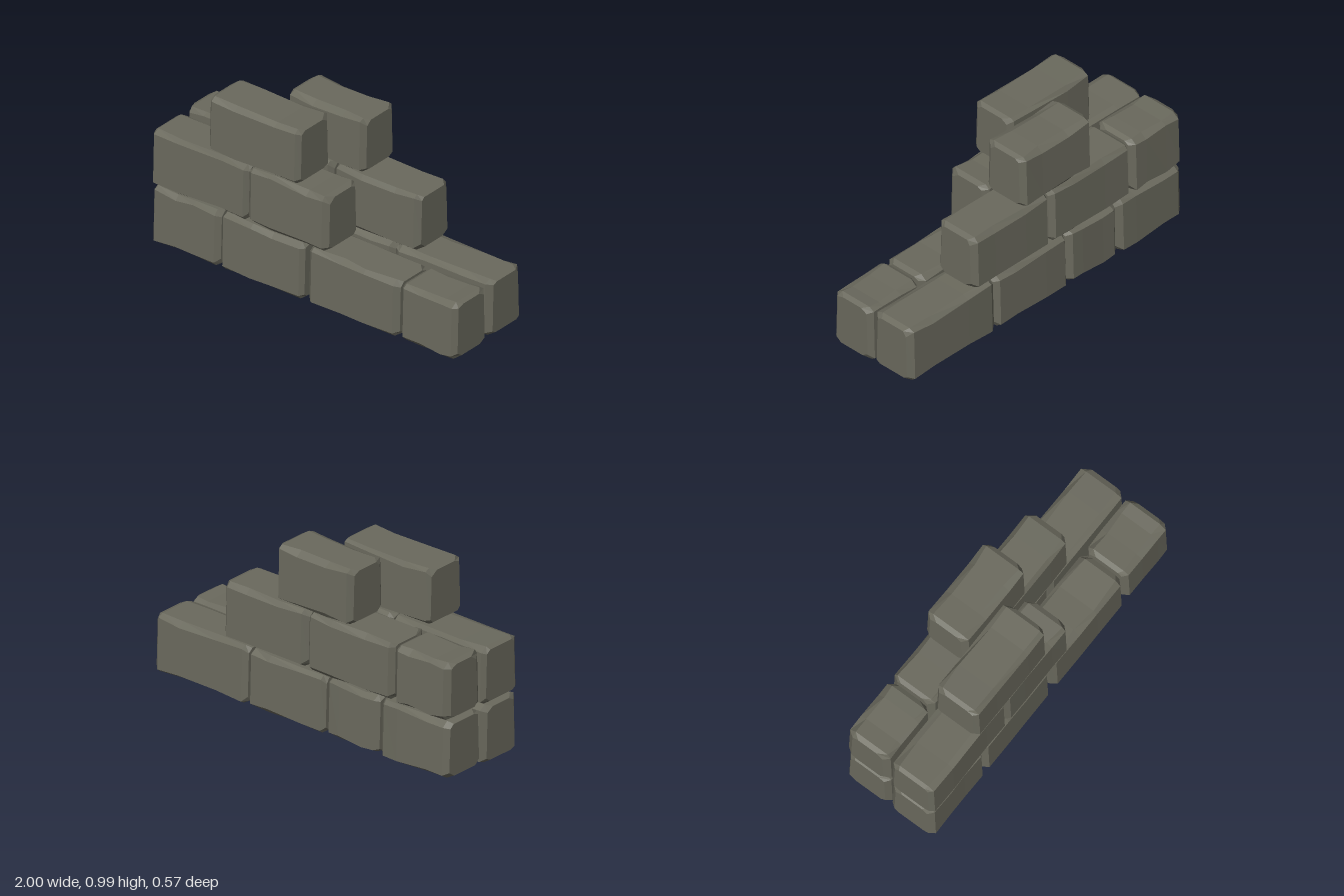
import * as THREE from 'three';

// Small repeatable number source for the chipped edges
function seeded(seed) {
  let s = seed * 7919 + 17;
  return () => {
    s = (s * 16807) % 2147483647;
    return s / 2147483647;
  };
}

// Hewn block: eight-sided sections strung along x, with narrower ends and uneven chamfers
function brickGeometry([x0, x1], [y0, y1], [z0, z1], seed) {
  const rnd = seeded(seed);
  rnd(); rnd();
  const bevel = 0.02 + rnd() * 0.012;
  const mids = [0.28 + rnd() * 0.1, 0.62 + rnd() * 0.12].map((t) => x0 + (x1 - x0) * t);
  const stations = [x0, x0 + bevel, ...mids, x1 - bevel, x1];
  const taper = 0.008;

  const rings = stations.map((x, i) => {
    const end = i === 0 || i === stations.length - 1;
    const middle = i === 2 || i === 3;
    const iy = end ? 0.014 : 0;
    const iz = end ? 0.02 + rnd() * 0.015 : 0;
    const top = y1 - iy - (middle ? rnd() * 0.008 : 0);
    const bottom = y0 + iy;
    const front = z1 - iz - rnd() * 0.003;
    const back = z0 + iz + rnd() * 0.003;
    const cz = () => 0.018 + rnd() * 0.025;
    const cy = () => 0.01 + rnd() * 0.02;
    return [
      [top, back + taper + cz()], [top, front - taper - cz()],
      [top - cy(), front - taper], [bottom + cy(), front],
      [bottom, front - cz()], [bottom, back + cz()],
      [bottom + cy(), back], [top - cy(), back + taper],
    ].map(([y, z]) => [x, y, z]);
  });

  const pos = [];
  const tri = (a, b, c) => pos.push(...a, ...b, ...c);
  for (let i = 0; i < rings.length - 1; i++) {
    for (let j = 0; j < 8; j++) {
      const k = (j + 1) % 8;
      tri(rings[i][j], rings[i][k], rings[i + 1][k]);
      tri(rings[i][j], rings[i + 1][k], rings[i + 1][j]);
    }
  }
  const first = rings[0], last = rings[rings.length - 1];
  for (let j = 1; j < 7; j++) {
    tri(first[0], first[j + 1], first[j]);
    tri(last[0], last[j], last[j + 1]);
  }
  const geo = new THREE.BufferGeometry();
  geo.setAttribute('position', new THREE.Float32BufferAttribute(pos, 3));
  geo.computeVertexNormals();
  return geo;
}

export function createModel() {
  const model = new THREE.Group();
  model.name = 'brokenStoneWall';
  const stone = new THREE.MeshStandardMaterial({ color: 0x6a695d, flatShading: true });
  stone.name = 'greyStone';

  // Two leaves of masonry; each course lists the x span of its blocks
  const leaves = [
    {
      name: 'front', z: [0.002, 0.283],
      courses: [
        { y: [0, 0.326], spans: [[-1, -0.555], [-0.545, -0.005], [0.025, 0.62], [0.635, 1]] },
        { y: [0.337, 0.656], spans: [[-1, -0.372], [-0.368, 0.155]] },
        { y: [0.67, 0.987], spans: [[-0.625, -0.03]] },
      ],
    },
    {
      name: 'back', z: [-0.283, -0.002],
      courses: [
        { y: [0.012, 0.335], spans: [[-1, -0.535], [-0.525, -0.17], [-0.16, 0.36], [0.37, 1]] },
        { y: [0.347, 0.669], spans: [[-1, -0.635], [-0.62, -0.045], [-0.035, 0.53]] },
        { y: [0.682, 0.993], spans: [[-0.34, 0.17]] },
      ],
    },
  ];

  let seed = 1;
  for (const leaf of leaves) {
    const wall = new THREE.Group();
    wall.name = `${leaf.name}Leaf`;
    leaf.courses.forEach((course, row) => {
      course.spans.forEach((span, n) => {
        const brick = new THREE.Mesh(brickGeometry(span, course.y, leaf.z, seed++), stone);
        brick.name = `${leaf.name}Block${row + 1}_${n + 1}`;
        wall.add(brick);
      });
    });
    model.add(wall);
  }
  return model;
}
